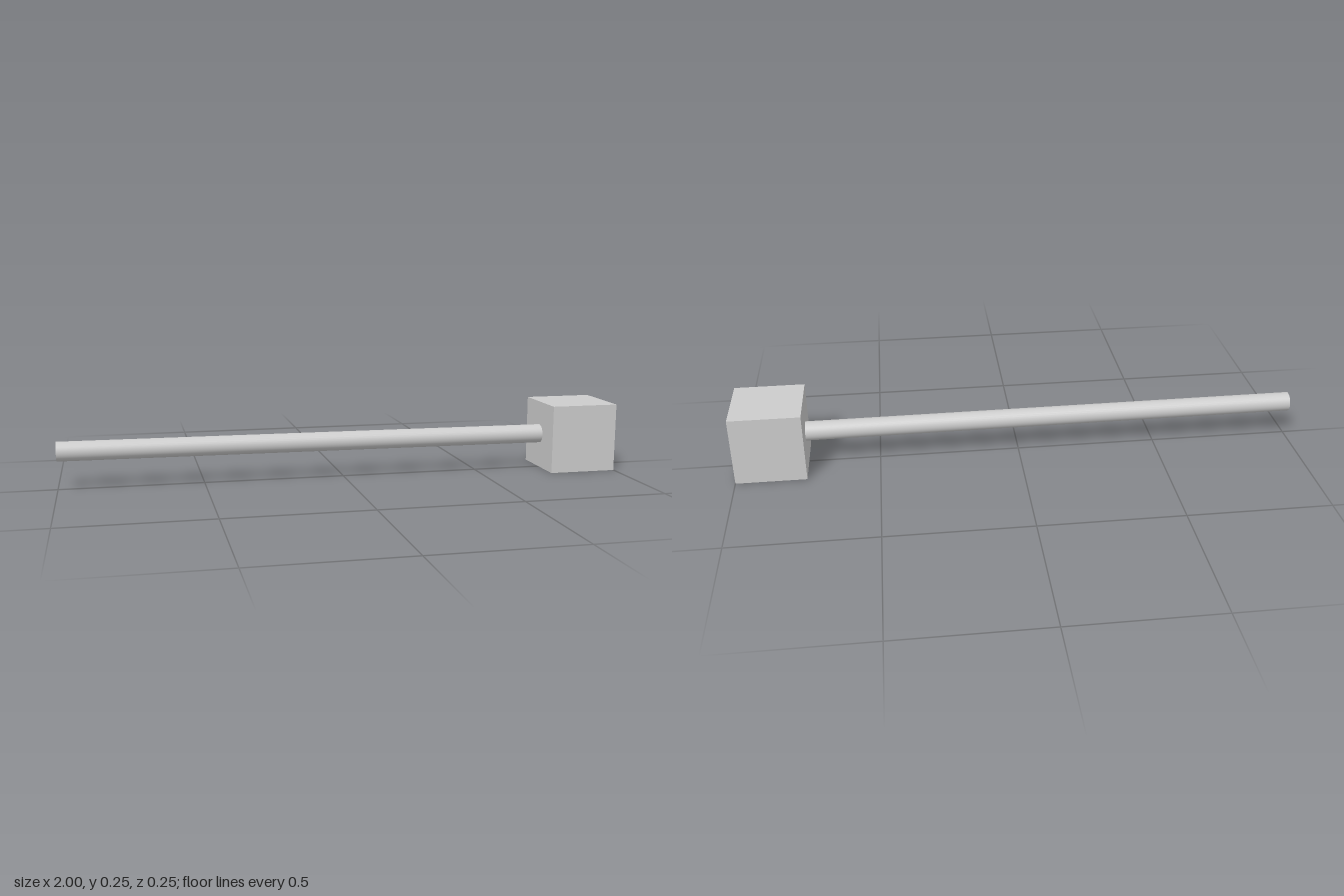
import * as THREE from 'three';

export function createModel() {
  const model = new THREE.Group();
  const grey = new THREE.MeshStandardMaterial({ color: 0xcccccc, side: THREE.DoubleSide });
  grey.name = 'light grey';

  // Cube head at the left end
  const size = 0.246;
  const head = new THREE.Mesh(new THREE.BoxGeometry(size, size, size), grey);
  head.name = 'head';
  head.position.set(1 - size / 2, size / 2, 0);
  model.add(head);

  // Open, hollow handle, tilted very slightly down towards the head
  const start = new THREE.Vector3(-0.9999, 0.132, -0.004);
  const end = new THREE.Vector3(0.757, 0.126, -0.004);
  const axis = end.clone().sub(start);
  const handle = new THREE.Mesh(
    new THREE.CylinderGeometry(0.034, 0.034, axis.length(), 32, 1, true), grey);
  handle.name = 'handle';
  handle.position.copy(start).add(end).multiplyScalar(0.5);
  handle.quaternion.setFromUnitVectors(new THREE.Vector3(0, 1, 0), axis.normalize());
  model.add(handle);

  return model;
}
